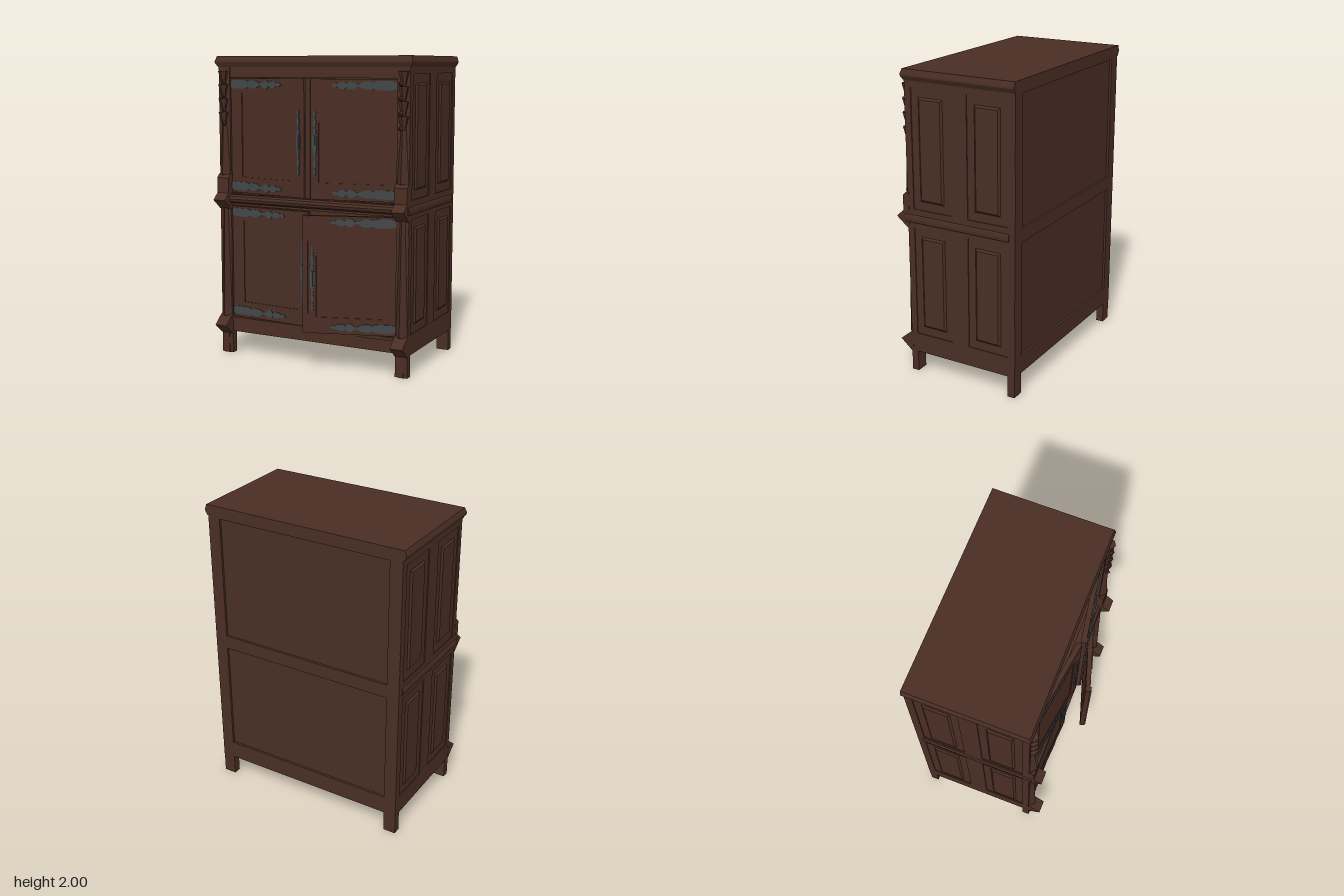
import * as THREE from 'three';

const wood = new THREE.MeshStandardMaterial({ color: 0x4a2e24 });
wood.name = 'dark wood';
wood.flatShading = true;
const iron = new THREE.MeshStandardMaterial({ color: 0x41474a });
iron.name = 'dark iron';

function add(parent, name, geometry, x = 0, y = 0, z = 0, material = wood) {
  const mesh = new THREE.Mesh(geometry, material);
  mesh.name = name;
  mesh.position.set(x, y, z);
  parent.add(mesh);
  return mesh;
}

// Box given by its limits on each axis
function box(parent, name, x0, x1, y0, y1, z0, z1) {
  return add(parent, name, new THREE.BoxGeometry(x1 - x0, y1 - y0, z1 - z0),
    (x0 + x1) / 2, (y0 + y1) / 2, (z0 + z1) / 2);
}

function rect(Type, x0, x1, y0, y1) {
  const r = new Type();
  r.moveTo(x0, y0);
  r.lineTo(x1, y0);
  r.lineTo(x1, y1);
  r.lineTo(x0, y1);
  r.closePath();
  return r;
}

// Flat frame with rectangular openings, [x0, x1, y0, y1] each
function frame(outer, holes, depth) {
  const s = rect(THREE.Shape, ...outer);
  for (const h of holes) s.holes.push(rect(THREE.Path, ...h));
  return new THREE.ExtrudeGeometry(s, { depth, bevelEnabled: false });
}

// Raised field with sloping edges, facing +z
function raisedField(w, h, depth, slope) {
  const g = new THREE.BoxGeometry(w, h, depth);
  const p = g.attributes.position;
  for (let i = 0; i < p.count; i++) {
    if (p.getZ(i) > 0) {
      p.setX(i, p.getX(i) - Math.sign(p.getX(i)) * slope);
      p.setY(i, p.getY(i) - Math.sign(p.getY(i)) * slope);
    }
  }
  g.computeVertexNormals();
  return g;
}

// Iron plate outlined by mirrored half widths along its length
function ironPlate(half) {
  const s = new THREE.Shape();
  s.moveTo(...half[0]);
  for (const [u, w] of half.slice(1)) s.lineTo(u, w);
  for (const [u, w] of half.slice().reverse()) s.lineTo(u, -w);
  return new THREE.ExtrudeGeometry(s, { depth: 0.007, bevelEnabled: false });
}
const strapPlate = ironPlate([[0.002, 0.02], [0.03, 0.028], [0.13, 0.028], [0.15, 0.018], [0.17, 0.026], [0.21, 0.024],
  [0.23, 0.016], [0.245, 0.007], [0.265, 0.009], [0.28, 0.024], [0.305, 0.028], [0.322, 0.01], [0.34, 0.022],
  [0.37, 0.02], [0.385, 0.008], [0.4, 0.014], [0.42, 0.002]]);
const handlePlate = ironPlate([[-0.21, 0.002], [-0.19, 0.009], [-0.16, 0.004], [-0.13, 0.012], [-0.1, 0.005],
  [-0.07, 0.009], [-0.04, 0.015], [0.04, 0.015], [0.07, 0.009], [0.1, 0.005], [0.13, 0.012], [0.16, 0.004],
  [0.19, 0.009], [0.21, 0.002]]);

// Door built from its hinge toward +u, then mirrored and swung open
function door(parent, name, dir, y, angle) {
  const W = 0.598, H = 0.755, T = 0.032;
  const g = new THREE.Group();
  g.name = name;
  add(g, 'doorFrame', frame([0, W, 0, H], [[0.09, 0.51, 0.105, 0.66]], T), 0, 0, -T);
  box(g, 'doorPanel', 0.085, 0.515, 0.1, 0.665, -T + 0.006, -0.006);
  for (const v of [0.045, 0.715]) add(g, 'hingeStrap', strapPlate, 0, v, 0, iron);
  const handle = add(g, 'handlePlate', handlePlate, dir > 0 ? 0.555 : 0.535, 0.355, 0, iron);
  handle.rotation.z = Math.PI / 2;
  const knob = new THREE.BoxGeometry(0.01, 0.1, 0.008);
  add(g, 'handleGrip', knob, handle.position.x, 0.355, 0.01, iron);
  if (dir < 0) box(g, 'doorLip', W - 0.035, W - 0.004, 0.004, H - 0.004, -0.004, 0.008);
  g.position.set(-dir * 0.6, y, 0.285);
  g.scale.x = dir;
  g.rotation.y = -dir * angle;
  parent.add(g);
}

// Side profile in (z, y), extruded across the width of a corner post
function postBlock(parent, name, profile) {
  const s = new THREE.Shape(profile.map(([z, y]) => new THREE.Vector2(-z, y)));
  const m = add(parent, name, new THREE.ExtrudeGeometry(s, { depth: 0.087, bevelEnabled: false }), 0.599);
  m.rotation.y = Math.PI / 2;
}

// Everything that repeats on the left and right, built on +x
function buildSide() {
  const g = new THREE.Group();
  const bays = [];
  for (const [y0, y1] of [[0.27, 1.0], [1.12, 1.89]])
    for (const [z0, z1] of [[-0.02, 0.255], [-0.42, -0.14]]) bays.push([-z1, -z0, y0, y1]);
  const side = add(g, 'sideFrame', frame([-0.3, 0.47, 0.14, 1.94], bays, 0.03), 0.655);
  side.rotation.y = Math.PI / 2;
  box(g, 'sidePanels', 0.65, 0.679, 0.2, 1.92, -0.45, 0.28);
  for (const [a, b, y0, y1] of bays) {
    const f = add(g, 'raisedPanel', raisedField(b - a - 0.1, y1 - y0 - 0.11, 0.012, 0.014),
      0.684, (y0 + y1) / 2, -(a + b) / 2);
    f.rotation.y = Math.PI / 2;
  }
  // side moulding between the two halves
  const roll = add(g, 'sideMoulding', new THREE.CylinderGeometry(0.028, 0.028, 0.75, 8), 0.683, 1.055, -0.055);
  roll.rotation.x = Math.PI / 2;
  roll.scale.x = 0.35;

  // posts and legs
  box(g, 'frontPost', 0.6, 0.684, 0.14, 1.94, 0.258, 0.301);
  box(g, 'frontLeg', 0.6, 0.684, 0, 0.15, 0.255, 0.302);
  box(g, 'frontLegFillet', 0.625, 0.66, 0, 0.14, 0.3, 0.307);
  box(g, 'backLeg', 0.6, 0.684, 0, 0.15, -0.469, -0.418);

  // corbels with sloping tops and undersides
  postBlock(g, 'lowerCorbel', [[0.29, 0.135], [0.305, 0.135], [0.386, 0.203], [0.305, 0.27], [0.29, 0.27]]);
  postBlock(g, 'middleCorbel', [[0.29, 0.99], [0.305, 0.99], [0.386, 1.055], [0.335, 1.1], [0.335, 1.2],
    [0.31, 1.225], [0.29, 1.225]]);

  // ridged tapering shafts
  for (const [y0, y1] of [[0.26, 1.0], [1.22, 1.56]]) {
    add(g, 'taperedShaft', new THREE.CylinderGeometry(0.018, 0.04, y1 - y0, 4), 0.643, (y0 + y1) / 2, 0.3);
  }
  // stacked carved capital
  for (let i = 0; i < 4; i++) {
    const h = 0.09;
    add(g, 'carvedCapital', new THREE.CylinderGeometry(0.036, 0.012, h, 6), 0.645, 1.59 + i * h, 0.305);
    add(g, 'capitalBead', new THREE.OctahedronGeometry(0.018), 0.632, 1.56 + i * h, 0.322);
  }
  return g;
}

export function createModel() {
  const model = new THREE.Group();
  model.name = 'cabinet';

  for (const s of [1, -1]) {
    const side = buildSide();
    side.name = s > 0 ? 'leftSide' : 'rightSide';
    side.scale.x = s;
    model.add(side);
  }

  // back frame and sunk panels
  add(model, 'backFrame', frame([-0.684, 0.684, 0.14, 1.94],
    [[-0.6, 0.6, 0.26, 1.01], [-0.6, 0.6, 1.1, 1.92]], 0.03), 0, 0, -0.471);
  box(model, 'backPanels', -0.65, 0.65, 0.2, 1.93, -0.456, -0.446);

  // front rails
  box(model, 'bottomRail', -0.61, 0.61, 0.15, 0.25, 0.262, 0.296);
  box(model, 'bottomRailBead', -0.6, 0.6, 0.228, 0.25, 0.29, 0.304);
  box(model, 'middleRail', -0.61, 0.61, 1.015, 1.095, 0.25, 0.296);
  box(model, 'topRail', -0.61, 0.61, 1.862, 1.94, 0.25, 0.296);
  const roll = add(model, 'middleMoulding', new THREE.CylinderGeometry(0.03, 0.03, 1.37, 10), 0, 1.06, 0.3);
  roll.rotation.z = Math.PI / 2;

  // shelf and the open-topped bottom skin
  box(model, 'shelf', -0.655, 0.655, 1.03, 1.06, -0.45, 0.25);
  const floor = add(model, 'bottomBoard', new THREE.PlaneGeometry(1.32, 0.71), 0, 0.235, -0.09);
  floor.rotation.x = Math.PI / 2;

  // cornice: profile widens, then slopes in to the top; flush at the back
  const levels = [[1.93, 0.688, 0.303], [1.958, 0.705, 0.316], [1.968, 0.705, 0.316], [2.0, 0.694, 0.306]];
  for (let i = 0; i < 3; i++) {
    const g = new THREE.BoxGeometry(1, 1, 1);
    const p = g.attributes.position;
    for (let k = 0; k < p.count; k++) {
      const [y, x, z] = levels[p.getY(k) > 0 ? i + 1 : i];
      p.setXYZ(k, Math.sign(p.getX(k)) * x, y, p.getZ(k) > 0 ? z : -0.473);
    }
    g.computeVertexNormals();
    add(model, 'cornice', g);
  }

  // four doors, each open by a different amount
  door(model, 'upperRightDoor', 1, 1.103, 0.14);
  door(model, 'upperLeftDoor', -1, 1.103, 0.17);
  door(model, 'lowerRightDoor', 1, 0.255, 0.06);
  door(model, 'lowerLeftDoor', -1, 0.255, 0.3);
  return model;
}
